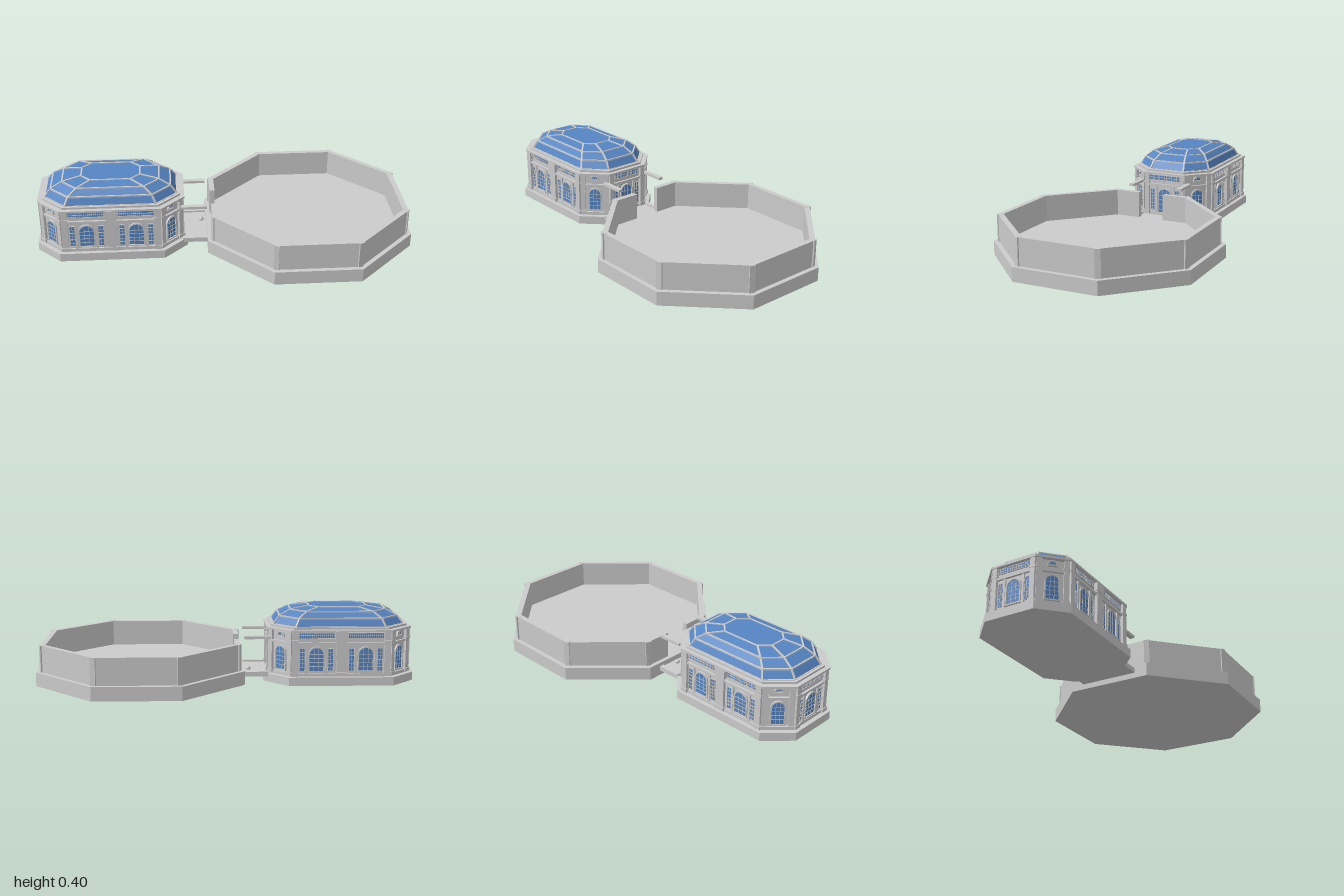
import * as THREE from 'three';

const grey = new THREE.MeshStandardMaterial({ color: 0xcccccc });
const blue = new THREE.MeshStandardMaterial({ color: 0x5585c4 });
const WALL = { hx: 0.368, hz: 0.23, cut: 0.115 };

function add(parent, name, geometry, material = grey) {
  const mesh = new THREE.Mesh(geometry, material);
  mesh.name = name;
  parent.add(mesh);
  return mesh;
}

function box(parent, name, w, h, d, x, y, z, material) {
  const mesh = add(parent, name, new THREE.BoxGeometry(w, h, d), material);
  mesh.position.set(x, y, z);
  return mesh;
}

// Corners of a rectangle with cut corners, counter-clockwise from above
function octagon(hx, hz, cut) {
  const a = hx - cut, b = hz - cut;
  return [[hx, -b], [hx, b], [a, hz], [-a, hz], [-hx, b], [-hx, -b], [-a, -hz], [a, -hz]]
    .map(([x, y]) => new THREE.Vector2(x, y));
}

// Flat slab from a plan outline, between heights y0 and y1
function slab(parent, name, points, y0, y1) {
  const g = new THREE.ExtrudeGeometry(new THREE.Shape(points), { depth: y1 - y0, bevelEnabled: false });
  g.rotateX(-Math.PI / 2).translate(0, y0, 0);
  add(parent, name, g);
}

// Square bar between two points in the parent's own space
function beam(parent, name, a, b, w) {
  const mesh = add(parent, name, new THREE.BoxGeometry(w, w, a.distanceTo(b) + w * 0.5));
  mesh.position.copy(a).lerp(b, 0.5);
  mesh.quaternion.setFromRotationMatrix(new THREE.Matrix4().lookAt(b, a, mesh.up));
}

function archPath(Type, r, y0, spring) {
  const p = new Type();
  p.moveTo(-r, y0).lineTo(r, y0).lineTo(r, spring);
  p.absarc(0, spring, r, 0, Math.PI, false);
  p.lineTo(-r, y0);
  return p;
}

// Round-headed window: glass, frame and glazing bars
function archWindow(parent, x, y0, w, h, bars = 4) {
  const g = new THREE.Group();
  g.name = 'archedWindow';
  g.position.set(x, y0, 0);
  parent.add(g);
  const r = w / 2, t = 0.007, ri = r - t;
  const extrude = (s, depth) => new THREE.ExtrudeGeometry(s, { depth, bevelEnabled: false, curveSegments: 10 });
  add(g, 'glass', extrude(archPath(THREE.Shape, ri, t, h - r), 0.003), blue);
  const frame = archPath(THREE.Shape, r, 0, h - r);
  frame.holes.push(archPath(THREE.Path, ri, t, h - r));
  add(g, 'windowFrame', extrude(frame, 0.01));
  for (const s of [-1, 1]) {
    const top = h - r + Math.sqrt(ri * ri - (ri / 3) ** 2);
    box(g, 'glazingBar', 0.002, top - t, 0.005, s * ri / 3, (top + t) / 2, 0.0025);
  }
  for (let i = 1; i <= bars; i++)
    box(g, 'glazingBar', ri * 2, 0.002, 0.005, 0, t + (h - r - t) * i / bars, 0.0025);
}

// Square-headed window with an even grid of bars
function gridWindow(parent, x, y, w, h, cols, rows) {
  const g = new THREE.Group();
  g.name = 'gridWindow';
  g.position.set(x, y, 0);
  parent.add(g);
  box(g, 'glass', w, h, 0.006, 0, 0, 0, blue);
  for (let i = 0; i <= cols; i++)
    box(g, 'glazingBar', 0.002, h, 0.012, w * (i / cols - 0.5), 0, 0);
  for (let i = 0; i <= rows; i++)
    box(g, 'glazingBar', w, 0.002, 0.012, 0, h * (i / rows - 0.5), 0);
}

function pilaster(parent, x, w) {
  box(parent, 'pilaster', w, 0.235, 0.03, x, 0.165, 0);
  box(parent, 'pilasterBase', w + 0.008, 0.02, 0.038, x, 0.06, 0);
  box(parent, 'pilasterCap', w + 0.006, 0.01, 0.034, x, 0.235, 0);
}

// Wide bay: middle arch, two narrow side windows, clerestory strip above
function wideBay(face, x, door) {
  const bay = new THREE.Group();
  bay.name = door ? 'doorBay' : 'windowBay';
  bay.position.x = x;
  face.add(bay);
  archWindow(bay, 0, door ? 0.045 : 0.068, 0.088, door ? 0.16 : 0.137);
  for (const s of [-1, 1]) {
    gridWindow(bay, s * 0.075, 0.135, 0.026, 0.12, 2, 6);
    box(bay, 'mullionPier', 0.012, 0.165, 0.016, s * 0.053, 0.133, 0);
  }
  gridWindow(bay, 0, 0.263, 0.185, 0.028, 18, 2);
  box(bay, 'lintelBand', 0.22, 0.012, 0.024, 0, 0.222, 0);
}

// Narrow bay on the cut corners: tall arch with a half-round light above
function cornerBay(face) {
  archWindow(face, 0, 0.068, 0.075, 0.137);
  archWindow(face, 0, 0.248, 0.05, 0.032, 1);
  box(face, 'lintelBand', 0.14, 0.012, 0.024, 0, 0.222, 0);
  for (const s of [-1, 1]) pilaster(face, s * 0.066, 0.026);
}

function makeFace(parent, name, x, z, angle) {
  const face = new THREE.Group();
  face.name = name;
  face.position.set(x, 0, z);
  face.rotation.y = angle;
  parent.add(face);
  return face;
}

function makeDome(parent) {
  const rings = [[0.303, 0.347, 0.212, 0.11], [0.346, 0.315, 0.191, 0.098],
    [0.377, 0.255, 0.156, 0.08], [0.392, 0.155, 0.096, 0.05]]
    .map(([y, hx, hz, cut]) => octagon(hx, hz, cut).map(p => new THREE.Vector3(p.x, y, -p.y)));
  const pts = [];
  for (let k = 0; k < 3; k++) for (let i = 0; i < 8; i++) {
    const j = (i + 1) % 8, lo = rings[k], hi = rings[k + 1];
    pts.push(lo[i], lo[j], hi[j], lo[i], hi[j], hi[i]);
  }
  for (let i = 1; i < 7; i++) pts.push(rings[3][0], rings[3][i], rings[3][i + 1]);
  const g = new THREE.BufferGeometry().setFromPoints(pts);
  g.computeVertexNormals();
  add(parent, 'domeGlass', g, blue);
  // Ribs up the corners and around each tier
  rings.forEach((ring, k) => ring.forEach((p, i) => {
    beam(parent, 'domeRing', p, ring[(i + 1) % 8], 0.008);
    if (k < 3) beam(parent, 'domeRib', p, rings[k + 1][i], 0.009);
  }));
}

function makePavilion() {
  const g = new THREE.Group();
  g.name = 'pavilion';
  g.position.x = -0.6;
  const { hx, hz, cut } = WALL;
  slab(g, 'pavilionBase', octagon(0.4, 0.26, 0.125), 0, 0.045);
  slab(g, 'plinth', octagon(hx + 0.008, hz + 0.008, cut), 0.045, 0.062);
  slab(g, 'walls', octagon(hx, hz, cut), 0.045, 0.29);
  slab(g, 'cornice', octagon(hx + 0.018, hz + 0.018, cut + 0.006), 0.283, 0.294);
  slab(g, 'roofRim', octagon(hx - 0.004, hz - 0.004, cut), 0.294, 0.305);
  // Long sides with two bays, short ends with one
  for (const s of [1, -1]) {
    const side = makeFace(g, s > 0 ? 'frontFace' : 'backFace', 0, s * hz, s > 0 ? 0 : Math.PI);
    for (const x of [-1, 1]) {
      wideBay(side, x * 0.13, false);
      pilaster(side, x * 0.243, 0.034);
    }
    pilaster(side, 0, 0.05);
    box(side, 'middleBlock', 0.064, 0.05, 0.04, 0, 0.265, 0);
    const end = makeFace(g, s > 0 ? 'leftEnd' : 'rightEnd', s * hx, 0, s * Math.PI / 2);
    wideBay(end, 0, s > 0);
    for (const x of [-1, 1]) pilaster(end, x * 0.108, 0.026);
  }
  // Cut corners
  for (const sx of [1, -1]) for (const sz of [1, -1])
    cornerBay(makeFace(g, 'cornerFace', sx * (hx - cut / 2), sz * (hz - cut / 2), Math.atan2(sx, sz)));
  makeDome(g);
  return g;
}

function makeCourt() {
  const g = new THREE.Group();
  g.name = 'court';
  g.position.x = 0.4525;
  const regular = a => octagon(a, a, a * (2 - Math.SQRT2));
  slab(g, 'courtBase', regular(0.547), 0, 0.073);
  // Parapet left open toward the pavilion
  const gap = 0.072, a = 0.523, b = 0.495, outer = regular(a), inner = regular(b);
  const loop = ring => [...ring.slice(5), ...ring.slice(0, 5)];
  slab(g, 'courtWall', [new THREE.Vector2(-a, -gap), ...loop(outer), new THREE.Vector2(-a, gap),
    new THREE.Vector2(-b, gap), ...loop(inner).reverse(), new THREE.Vector2(-b, -gap)], 0.073, 0.215);
  // Slim posts on the wall corners
  for (const p of outer) {
    const post = box(g, 'cornerPost', 0.029, 0.142, 0.029, p.x * 0.977, 0.1445, -p.y * 0.977);
    post.rotation.y = Math.atan2(p.y, p.x);
  }
  return g;
}

function makeBridge() {
  const g = new THREE.Group();
  g.name = 'bridge';
  box(g, 'bridgeDeck', 0.14, 0.016, 0.314, -0.155, 0.037, 0);
  for (const s of [-1, 1]) {
    box(g, 'curb', 0.13, 0.01, 0.026, -0.16, 0.049, s * 0.144);
    box(g, 'overheadBeam', 0.14, 0.014, 0.026, -0.165, 0.238, s * 0.144);
  }
  const knob = add(g, 'knob', new THREE.SphereGeometry(0.014, 16, 10));
  knob.position.set(-0.12, 0.05, -0.05);
  return g;
}

export function createModel() {
  const model = new THREE.Group();
  model.name = 'domedPavilionAndCourt';
  model.add(makePavilion(), makeCourt(), makeBridge());
  return model;
}
